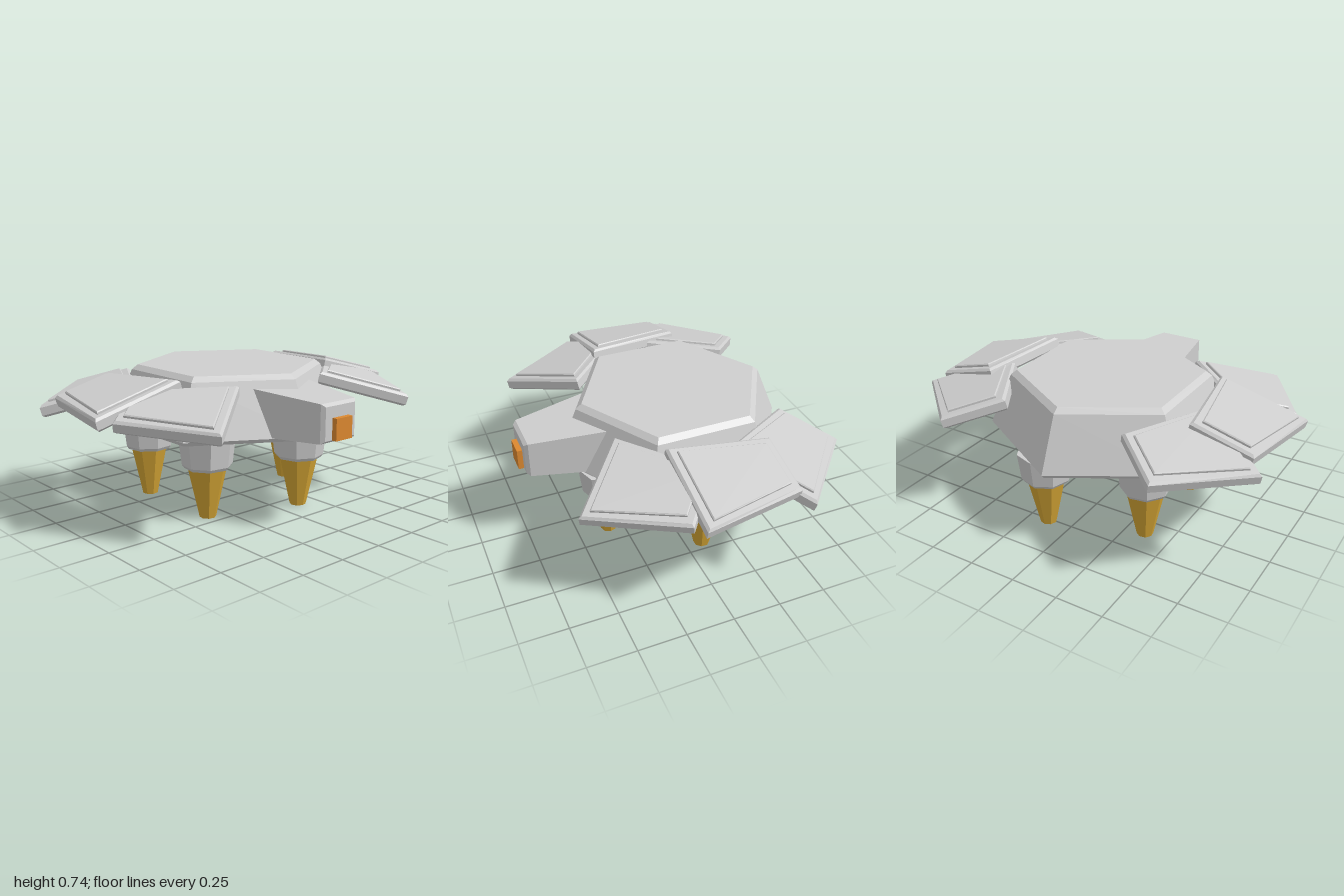
import * as THREE from 'three';

const shell = new THREE.MeshStandardMaterial({ color: 0xcecece });
shell.name = 'shellGrey';
const gold = new THREE.MeshStandardMaterial({ color: 0xd4a535 });
gold.name = 'spikeGold';
const orange = new THREE.MeshStandardMaterial({ color: 0xdb8830 });
orange.name = 'eyeOrange';

const CENTRE_Z = -0.09;

function named(name, geometry, material) {
  const mesh = new THREE.Mesh(geometry, material);
  mesh.name = name;
  return mesh;
}

// Faceted solid of revolution; profile runs bottom to top as [radius, y]
function facetedLathe(profile, sides) {
  const points = profile.map(([r, y]) => new THREE.Vector2(r, y));
  const geometry = new THREE.LatheGeometry(points, sides).toNonIndexed();
  geometry.computeVertexNormals();
  return geometry;
}

// Faceted solid through rings of [x, y, z], counterclockwise seen from the last ring
function loft(rings) {
  const out = [];
  const tri = (a, b, c) => out.push(...a, ...b, ...c);
  const n = rings[0].length;
  for (let i = 0; i < rings.length - 1; i++) {
    for (let j = 0; j < n; j++) {
      const k = (j + 1) % n;
      tri(rings[i][j], rings[i][k], rings[i + 1][k]);
      tri(rings[i][j], rings[i + 1][k], rings[i + 1][j]);
    }
  }
  const first = rings[0], last = rings[rings.length - 1];
  for (let j = 1; j < n - 1; j++) {
    tri(first[0], first[j + 1], first[j]);
    tri(last[0], last[j], last[j + 1]);
  }
  const geometry = new THREE.BufferGeometry();
  geometry.setAttribute('position', new THREE.Float32BufferAttribute(out, 3));
  geometry.computeVertexNormals();
  return geometry;
}

// Trapezoid outline of a plate, wide towards +z
function plateRing(y, inset) {
  const narrow = 0.168 - inset, wide = 0.247 - inset, half = 0.258 - inset;
  return [[-narrow, y, -half], [-wide, y, half], [wide, y, half], [narrow, y, -half]];
}

// Cross-section of the head at depth z
function headRing(z, x, y0, y1) {
  return [[-x, y0, z], [x, y0, z], [x, y1, z], [-x, y1, z]];
}

export function createModel() {
  const model = new THREE.Group();
  model.name = 'sixPlatedWalker';

  // Bevelled hexagonal body
  const body = named('body', facetedLathe(
    [[0, 0.415], [0.625, 0.415], [0.64, 0.435], [0.522, 0.71], [0.49, 0.735], [0, 0.735]], 6), shell);
  body.position.z = CENTRE_Z;
  model.add(body);

  // Tapered head with a square eye
  model.add(named('head', loft([
    headRing(0.2, 0.222, 0.425, 0.68),
    headRing(0.72, 0.118, 0.452, 0.646),
    headRing(0.738, 0.102, 0.466, 0.632),
  ]), shell));
  const eye = named('eye', new THREE.BoxGeometry(0.11, 0.11, 0.06), orange);
  eye.position.set(0, 0.52, 0.735);
  model.add(eye);

  // Five legs in a ring: socket above, spike below
  const socketGeometry = facetedLathe(
    [[0, 0.265], [0.118, 0.265], [0.13, 0.282], [0.147, 0.425], [0, 0.425]], 8);
  const spikeGeometry = facetedLathe([[0, 0], [0.043, 0], [0.102, 0.27], [0, 0.27]], 8);
  for (let i = 0; i < 5; i++) {
    const angle = (i / 5) * Math.PI * 2;
    const leg = new THREE.Group();
    leg.name = 'leg';
    leg.add(named('legSocket', socketGeometry, shell), named('legSpike', spikeGeometry, gold));
    leg.position.set(0.44 * Math.cos(angle), 0, CENTRE_Z + 0.44 * Math.sin(angle));
    leg.rotation.y = Math.PI / 8 - angle;
    model.add(leg);
  }

  // Three overlapping plates on each side, sloping outwards
  const plateGeometry = loft([
    plateRing(-0.066, 0.012), plateRing(-0.054, 0), plateRing(-0.012, 0), plateRing(0, 0.012)]);
  const panelGeometry = loft([
    plateRing(-0.005, 0.042), plateRing(0.01, 0.042), plateRing(0.015, 0.047)]);
  const plates = [
    ['frontPlate', 0.634, 0.638, 0.29, -0.7],
    ['middlePlate', 0.75, 0.668, -0.1, 0],
    ['rearPlate', 0.627, 0.638, -0.457, 0.68],
  ];
  for (const side of [1, -1]) {
    for (const [name, x, y, z, turn] of plates) {
      const plate = new THREE.Group();
      plate.name = (side > 0 ? 'left ' : 'right ') + name;
      plate.add(named('plateSlab', plateGeometry, shell), named('raisedPanel', panelGeometry, shell));
      plate.position.set(side * x, y, z);
      plate.rotation.set(0, side * turn, -side * 0.26, 'YXZ');
      model.add(plate);
    }
  }
  return model;
}
